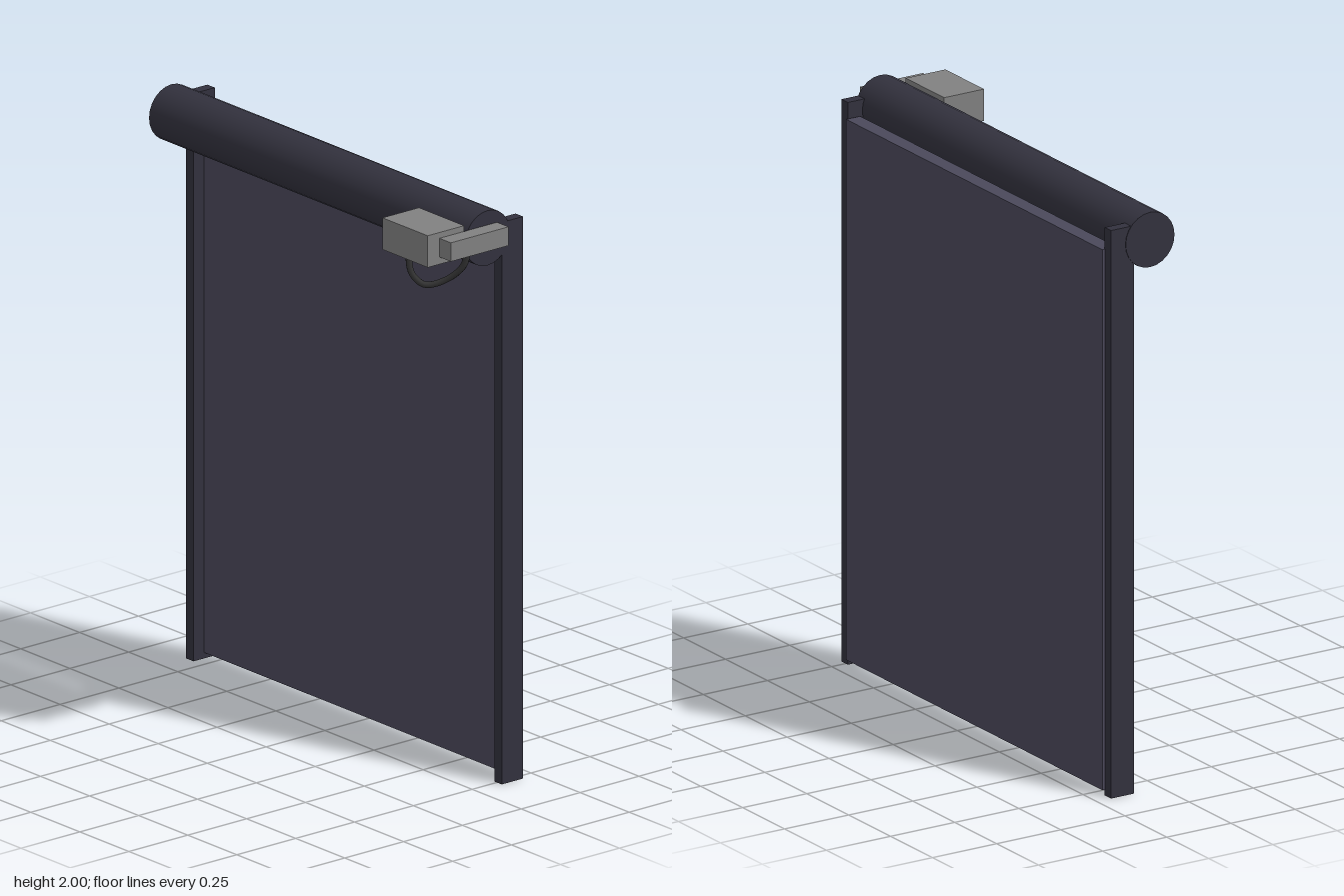
import * as THREE from 'three';

export function createModel() {
  const group = new THREE.Group();
  const frameMat = new THREE.MeshStandardMaterial({ color: 0x32313d });
  const curtainMat = new THREE.MeshStandardMaterial({ color: 0x4a485a });
  const motorMat = new THREE.MeshStandardMaterial({ color: 0x808080 });
  const cableMat = new THREE.MeshStandardMaterial({ color: 0x333333 });

  const add = (name, geometry, material) => {
    const mesh = new THREE.Mesh(geometry, material);
    mesh.name = name;
    group.add(mesh);
    return mesh;
  };

  // Box given by its limits along each axis
  const box = (name, material, [x0, x1], [y0, y1], [z0, z1]) =>
    add(name, new THREE.BoxGeometry(x1 - x0, y1 - y0, z1 - z0), material)
      .position.set((x0 + x1) / 2, (y0 + y1) / 2, (z0 + z1) / 2);

  // Guide rails on both sides of the curtain
  box('frontGuideRail', frameMat, [0.105, 0.195], [0, 1.945], [0.737, 0.775]);
  box('rearGuideRail', frameMat, [0.105, 0.195], [0, 1.965], [-0.833, -0.795]);

  // Door curtain
  box('curtain', curtainMat, [0.15, 0.205], [0.02, 1.89], [-0.797, 0.732]);

  // Roller drum across the top
  const drum = add('rollerDrum', new THREE.CylinderGeometry(0.095, 0.095, 1.61, 24), frameMat);
  drum.rotation.x = Math.PI / 2;
  drum.position.set(0.044, 1.905, -0.03);

  // Drive motor and the gear arm that couples it to the drum
  box('motor', motorMat, [-0.21, -0.055], [1.86, 1.97], [0.545, 0.775]);
  box('gearArm', motorMat, [-0.16, 0.085], [1.885, 1.95], [0.775, 0.833]);

  // Hanging cable loop from the arm to the motor
  const path = new THREE.CatmullRomCurve3([
    [-0.06, 1.89, 0.8], [-0.068, 1.835, 0.785], [-0.1, 1.782, 0.735],
    [-0.148, 1.763, 0.685], [-0.177, 1.8, 0.655], [-0.185, 1.87, 0.645],
  ].map((p) => new THREE.Vector3(...p)));
  add('cableLoop', new THREE.TubeGeometry(path, 32, 0.011, 8), cableMat);

  return group;
}
